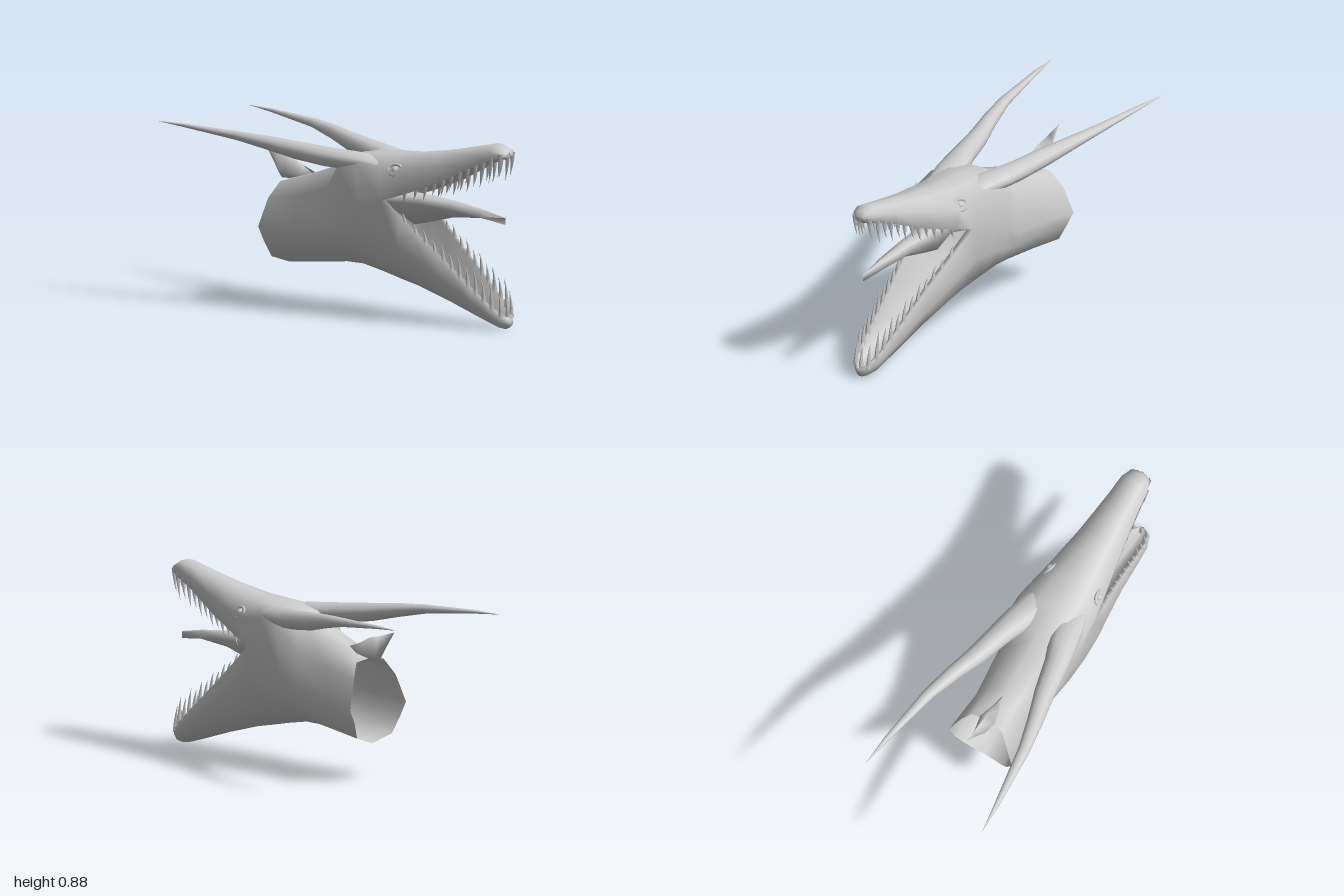
import * as THREE from 'three';
import { mergeGeometries, mergeVertices } from 'three/addons/utils/BufferGeometryUtils.js';

const material = new THREE.MeshStandardMaterial({ color: 0xcccccc, side: THREE.DoubleSide });

// Skins closed rings of [x, y, z] points, ordered from back to front
function loft(rings) {
  const n = rings[0].length, index = [];
  for (let i = 0; i < rings.length - 1; i++) {
    for (let j = 0; j < n; j++) {
      const a = i * n + j, b = i * n + (j + 1) % n;
      index.push(a, a + n, b, b, a + n, b + n);
    }
  }
  const g = new THREE.BufferGeometry();
  g.setAttribute('position', new THREE.Float32BufferAttribute(rings.flat(2), 3));
  g.setIndex(index);
  g.computeVertexNormals();
  return g;
}

// Mirrors a half section (top centre to bottom centre) into a full ring
const ring = (z, half) => [
  ...half.map(([x, y]) => [x, y, z]),
  ...half.slice(1, -1).reverse().map(([x, y]) => [-x, y, z]),
];

// Tapered oval horn: stations [x, y, z, rx, ry], tip first
const hornLoft = (stations, sides) => loft(stations.map(([x, y, z, rx, ry]) =>
  Array.from({ length: sides }, (_, i) => {
    const a = (i / sides) * Math.PI * 2;
    return [x + rx * Math.sin(a), y + ry * Math.cos(a), z];
  })));

function add(parent, name, geometry) {
  const mesh = new THREE.Mesh(geometry, material);
  mesh.name = name;
  parent.add(mesh);
  return mesh;
}

// Section pieces shared by the neck, skull and jaws:
// full = shoulder width, rise = shoulder height, lipW = width at the lip
const LIP = 0.88, INNER = 0.72;
const upperOuter = (h, top, lip, full = 0.95, rise = 0.58, lipW = LIP) =>
  [[0, top], [h * 0.48, top - 0.01], [h * full, lip + (top - lip) * rise], [h * lipW, lip]];
const lowerOuter = (h, lip, bot, full = 0.95, lipW = LIP) =>
  [[h * lipW, lip], [h * (Math.min(full, 0.95) + 0.06), bot + (lip - bot) * 0.62],
    [h * 0.62, bot + (lip - bot) * 0.2], [0, bot]];
const upperInner = (h, lip, palate) => [[h * INNER, lip], [h * 0.5, palate - 0.015], [0, palate]];
const lowerInner = (h, lip, floor) => [[0, floor], [h * 0.5, floor + 0.02], [h * INNER, lip]];

// z, half width, top, widest height, bottom, shoulder width, shoulder height, width at widest height
const BODY = [
  [-0.44, 0.175, 0.585, 0.365, 0.18, 0.75, 0.6, 1], [-0.25, 0.156, 0.625, 0.385, 0.198, 0.8, 0.6, 1],
  [-0.05, 0.164, 0.695, 0.42, 0.22, 0.9, 0.62, 1], [0.05, 0.174, 0.755, 0.47, 0.22, 1.08, 0.8, 0.97],
  [0.17, 0.184, 0.777, 0.53, 0.198, 1.02, 0.78, 0.94], [0.3, 0.18, 0.783, 0.565, 0.17, 0.95, 0.64, LIP],
];
// z, half width, top, lip, palate
const UPPER = [
  [0.3, 0.18, 0.783, 0.565, 0.63], [0.4, 0.16, 0.79, 0.598, 0.66], [0.6, 0.12, 0.82, 0.67, 0.72],
  [0.8, 0.087, 0.862, 0.765, 0.795], [0.9, 0.076, 0.884, 0.805, 0.825],
  [0.95, 0.055, 0.87, 0.82, 0.83], [0.968, 0.028, 0.85, 0.825, 0.83], [0.97, 0, 0.84, 0.84, 0.84],
];
// z, half width, lip, bottom, floor
const LOWER = [
  [0.3, 0.18, 0.565, 0.17, 0.28], [0.4, 0.157, 0.485, 0.15, 0.23], [0.6, 0.117, 0.335, 0.095, 0.15],
  [0.8, 0.087, 0.185, 0.033, 0.08], [0.9, 0.07, 0.11, 0.004, 0.05],
  [0.95, 0.047, 0.072, 0, 0.045], [0.975, 0.022, 0.05, 0.012, 0.04], [0.982, 0, 0.035, 0.035, 0.035],
];

// Linear lookup in a jaw table
function sample(table, z, column) {
  let i = 0;
  while (i < table.length - 2 && table[i + 1][0] < z) i++;
  const [a, b] = [table[i], table[i + 1]];
  return THREE.MathUtils.lerp(a[column], b[column], (z - a[0]) / (b[0] - a[0]));
}

function headGeometry() {
  const body = BODY.map(([z, h, top, mid, bot, full, rise, w]) =>
    ring(z, [...upperOuter(h, top, mid, full, rise, w), ...lowerOuter(h, mid, bot, full, w).slice(1)]));
  // Bowed rim at the open end of the neck
  body[0].forEach((p) => { p[2] = -0.46 + 0.05 * ((p[1] - 0.36) / 0.2) ** 2; });
  const upper = UPPER.map(([z, h, top, lip, palate], i) =>
    ring(z, [...upperOuter(h, top, lip, 0.95, i ? 0.58 : 0.64), ...upperInner(h, lip, palate)]));
  const lower = LOWER.map(([z, h, lip, bot, floor]) =>
    ring(z, [...lowerInner(h, lip, floor), ...lowerOuter(h, lip, bot)]));
  // Throat pocket closing the back of the mouth
  const [, h, , lip, palate] = UPPER[0], floor = LOWER[0][4];
  const mouth = [...upperInner(h, lip, palate).reverse(), ...lowerInner(h, lip, floor).reverse().slice(1)];
  const throat = [[0.3, 1], [0.2, 0.85], [0.08, 0.5], [0.05, 0]].map(([z, s]) =>
    ring(z, mouth.map(([x, y]) => [x * s, 0.5 + (y - 0.5) * s])));
  const merged = mergeGeometries([body, upper, lower, throat].map(loft));
  merged.deleteAttribute('normal');
  const g = mergeVertices(merged, 1e-4);
  g.computeVertexNormals();
  return g;
}

// Curved tooth; its tip leans backwards
function toothGeometry(length) {
  const g = new THREE.ConeGeometry(0.014, length + 0.02, 5, 3, true);
  g.translate(0, length / 2 - 0.01, 0);
  const p = g.attributes.position;
  for (let k = 0; k < p.count; k++) {
    const f = Math.max(0, p.getY(k) / length);
    p.setZ(k, p.getZ(k) - 0.016 * f * f);
  }
  g.computeVertexNormals();
  return g;
}

function addTeeth(group, name, table, lipColumn, dir, count, shortest, longest) {
  const teeth = new THREE.Group();
  teeth.name = name;
  const place = (g, x, y, z) => {
    const tooth = add(teeth, 'tooth', g);
    tooth.position.set(x, y, z);
    if (dir < 0) tooth.rotation.set(Math.PI, Math.PI, 0);
  };
  for (let i = 0; i < count; i++) {
    const t = i / (count - 1);
    const z = 0.42 + 0.53 * t ** 0.9;
    const length = THREE.MathUtils.lerp(shortest, longest, t) * (i % 2 ? 0.8 : 1);
    const g = toothGeometry(length);
    for (const side of [-1, 1])
      place(g, side * sample(table, z, 1) * 0.8, sample(table, z, lipColumn), z);
  }
  // Small tooth at the tip of the jaw
  place(toothGeometry(longest * 0.7), 0, sample(table, 0.96, lipColumn), 0.96);
  group.add(teeth);
}

export function createModel() {
  const root = new THREE.Group();
  root.name = 'hornedBeastHead';
  const head = new THREE.Group();
  head.name = 'turnedHead';
  head.position.x = 0.09;
  head.rotation.y = 0.106;
  root.add(head);

  add(head, 'skullNeckAndJaws', headGeometry());

  // Horns growing out of the back corners of the skull, and sunken eyes
  for (const s of [-1, 1]) {
    const side = s > 0 ? 'left' : 'right';
    add(head, side + 'Horn', hornLoft([
      [s * 0.325, 0.833, -0.965, 0, 0], [s * 0.308, 0.826, -0.8, 0.013, 0.009],
      [s * 0.266, 0.803, -0.5, 0.029, 0.022], [s * 0.228, 0.781, -0.34, 0.04, 0.034],
      [s * 0.188, 0.757, -0.2, 0.05, 0.044], [s * 0.153, 0.738, -0.04, 0.06, 0.047],
      [s * 0.125, 0.731, 0.06, 0.072, 0.046], [s * 0.1, 0.727, 0.16, 0.075, 0.042], [s * 0.09, 0.72, 0.27, 0.05, 0.02],
      [s * 0.09, 0.72, 0.3, 0, 0],
    ], 12));
    const eye = add(head, side + 'Eye', new THREE.SphereGeometry(0.02, 10, 8));
    eye.position.set(s * 0.134, 0.714, 0.37);
    const socket = add(head, side + 'EyeSocket', new THREE.TorusGeometry(0.031, 0.008, 6, 12));
    socket.position.set(s * 0.138, 0.716, 0.37);
    socket.rotation.set(-0.5, s * 1.3, 0, 'YXZ');
    socket.scale.set(1.2, 0.9, 1);
  }

  // Tongue with a V-shaped underside, spreading into a ledge across the throat
  add(head, 'tongue', loft([
    [0.22, 0.13, 0.59, 0.52], [0.29, 0.126, 0.588, 0.51], [0.37, 0.085, 0.59, 0.44], [0.46, 0.07, 0.588, 0.46],
    [0.62, 0.05, 0.578, 0.5], [0.8, 0.03, 0.558, 0.515], [0.945, 0, 0.532, 0.53],
  ].map(([z, h, top, bot]) => ring(z, [[0, top], [h * 0.6, top - 0.006], [h, top - 0.035], [0, bot]]))));

  // Fin at the back of the neck
  add(head, 'neckFin', loft([
    [-0.575, 0, 0.732, 0.73], [-0.51, 0.012, 0.712, 0.64], [-0.465, 0.025, 0.7, 0.577],
    [-0.4, 0.04, 0.685, 0.58], [-0.33, 0.02, 0.65, 0.585], [-0.26, 0, 0.626, 0.6],
  ].map(([z, h, top, bot]) => ring(z, [[0, top], [h, bot + (top - bot) * 0.25], [0, bot]]))));

  addTeeth(head, 'upperTeeth', UPPER, 3, -1, 12, 0.055, 0.12);
  addTeeth(head, 'lowerTeeth', LOWER, 2, 1, 12, 0.045, 0.14);
  return root;
}
